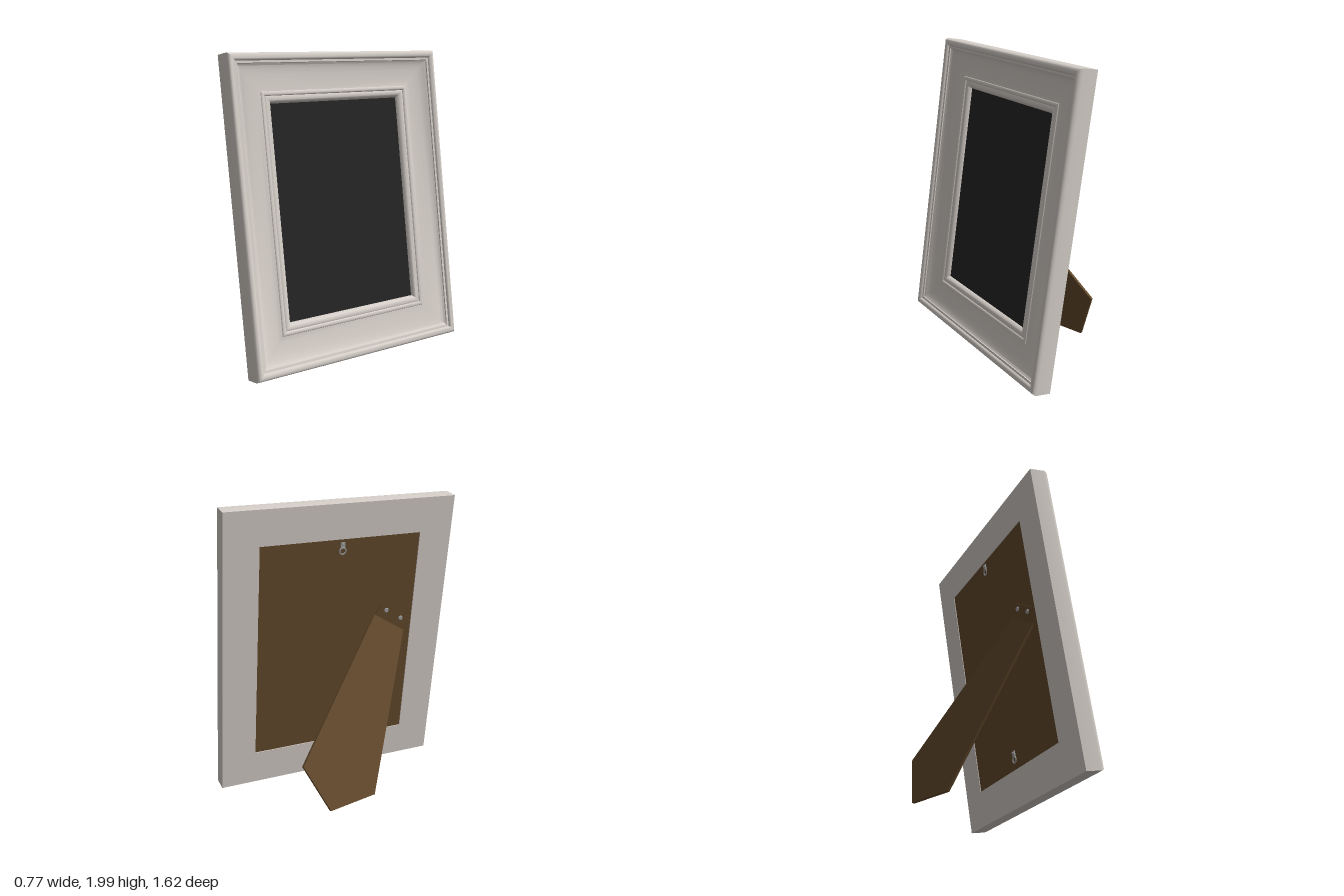
import * as THREE from 'three';
import { toCreasedNormals } from 'three/addons/utils/BufferGeometryUtils.js';

const HALF_W = 0.812, HEIGHT = 2.0, TILT = 0.15;

function material(name, color) {
  const m = new THREE.MeshStandardMaterial({ color });
  m.name = name;
  return m;
}

// Moulding profile: [distance in from the outer edge, height above the back]
const PROFILE = [
  [0.31, 0.03], [0.24, 0.03], [0.24, 0], [0, 0], [0, 0.1],
  [0.003, 0.114], [0.011, 0.126], [0.024, 0.131], [0.037, 0.129], [0.046, 0.122], [0.05, 0.113],
  [0.064, 0.111], [0.066, 0.104],
  [0.078, 0.096], [0.1, 0.084], [0.13, 0.075], [0.165, 0.069], [0.2, 0.065], [0.235, 0.064],
  [0.238, 0.069], [0.248, 0.073], [0.258, 0.07], [0.263, 0.063],
  [0.27, 0.067], [0.28, 0.068], [0.292, 0.064], [0.302, 0.055], [0.31, 0.038], [0.31, 0.03],
];

// Sweeps the profile round four mitred corners
function mouldingGeometry() {
  const corner = (c, [d, w]) => [
    w,
    c < 2 ? d : HEIGHT - d,
    (c === 1 || c === 2 ? 1 : -1) * (HALF_W - d),
  ];
  const pos = [];
  for (let c = 0; c < 4; c++) {
    const n = (c + 1) % 4;
    for (let i = 0; i < PROFILE.length - 1; i++) {
      const a = corner(c, PROFILE[i]), b = corner(n, PROFILE[i]);
      const e = corner(c, PROFILE[i + 1]), f = corner(n, PROFILE[i + 1]);
      pos.push(...a, ...e, ...b, ...b, ...e, ...f);
    }
  }
  const g = new THREE.BufferGeometry();
  g.setAttribute('position', new THREE.Float32BufferAttribute(pos, 3));
  return toCreasedNormals(g, 0.7);
}

// Flat plate through coplanar points, thickened away from the outward side
function plateGeometry(points, thickness) {
  const p = points.map((q) => new THREE.Vector3(...q));
  const u = p[1].clone().sub(p[0]).normalize();
  const n = new THREE.Vector3().crossVectors(u, p[p.length - 1].clone().sub(p[0])).normalize();
  const v = new THREE.Vector3().crossVectors(n, u);
  const flat = p.map((q) => {
    const r = q.clone().sub(p[0]);
    return new THREE.Vector2(r.dot(u), r.dot(v));
  });
  const g = new THREE.ExtrudeGeometry(new THREE.Shape(flat), { depth: thickness, bevelEnabled: false });
  g.translate(0, 0, -thickness);
  g.applyMatrix4(new THREE.Matrix4().makeBasis(u, v, n).setPosition(p[0]));
  return g;
}

export function createModel() {
  const model = new THREE.Group();
  model.name = 'pictureFrame';
  const paint = material('warm white paint', 0xd6cfc9);
  const board = material('brown board', 0x644a2c);
  const dark = material('dark picture', 0x242424);
  const metal = material('grey metal', 0xa3a3a3);

  const add = (parent, name, geometry, mat, x = 0, y = 0, z = 0) => {
    const mesh = new THREE.Mesh(geometry, mat);
    mesh.name = name;
    mesh.position.set(x, y, z);
    parent.add(mesh);
    return mesh;
  };

  // Leaning frame: local x is the facing direction, y runs up the slope
  const frame = new THREE.Group();
  frame.name = 'leaningFrame';
  frame.rotation.z = TILT;
  frame.position.x = 0.251;
  model.add(frame);

  add(frame, 'moulding', mouldingGeometry(), paint);
  add(frame, 'picture', new THREE.BoxGeometry(0.008, 1.4, 1.02), dark, 0.034, HEIGHT / 2, 0);
  add(frame, 'backBoard', new THREE.BoxGeometry(0.025, HEIGHT - 0.482, 2 * HALF_W - 0.482), board, 0.0165, HEIGHT / 2, 0);

  // Wall hangers: a small strap, a screw and a ring
  for (const y of [0.325, 1.7]) {
    const hanger = new THREE.Group();
    hanger.name = 'hanger';
    hanger.position.set(0, y, 0);
    frame.add(hanger);
    add(hanger, 'hangerStrap', new THREE.BoxGeometry(0.01, 0.04, 0.03), metal, 0, 0.018, 0);
    const screw = new THREE.CylinderGeometry(0.009, 0.011, 0.012, 12).rotateZ(Math.PI / 2);
    add(hanger, 'hangerScrew', screw, metal, -0.006, 0.022, 0);
    const ring = new THREE.TorusGeometry(0.022, 0.005, 8, 20).rotateY(Math.PI / 2);
    add(hanger, 'hangerRing', ring, metal, -0.003, -0.02, 0);
  }

  // Diagonal hinge with two rivets, on the back board
  const hinge = new THREE.Group();
  hinge.name = 'hinge';
  hinge.position.set(0, 1.19, 0.28);
  hinge.rotation.x = Math.atan2(0.15, 0.24);
  frame.add(hinge);
  add(hinge, 'hingePlate', new THREE.BoxGeometry(0.01, 0.1, 0.28), board, 0.002, 0.05, 0.14);
  for (const z of [0.06, 0.2]) {
    const rivet = new THREE.CylinderGeometry(0.014, 0.018, 0.01, 14).rotateZ(Math.PI / 2);
    add(hinge, 'rivet', rivet, metal, -0.006, 0.065, z);
  }

  // Pointed easel leg running diagonally down to the ground
  const legPoints = [
    [0.072, 1.18, 0.28], [-0.345, 0.355, -0.44], [-0.385, 0.015, -0.27],
    [-0.285, 0.006, 0.1], [0.093, 1.03, 0.52],
  ];
  add(model, 'easelLeg', plateGeometry(legPoints, 0.016), board);

  return model;
}
